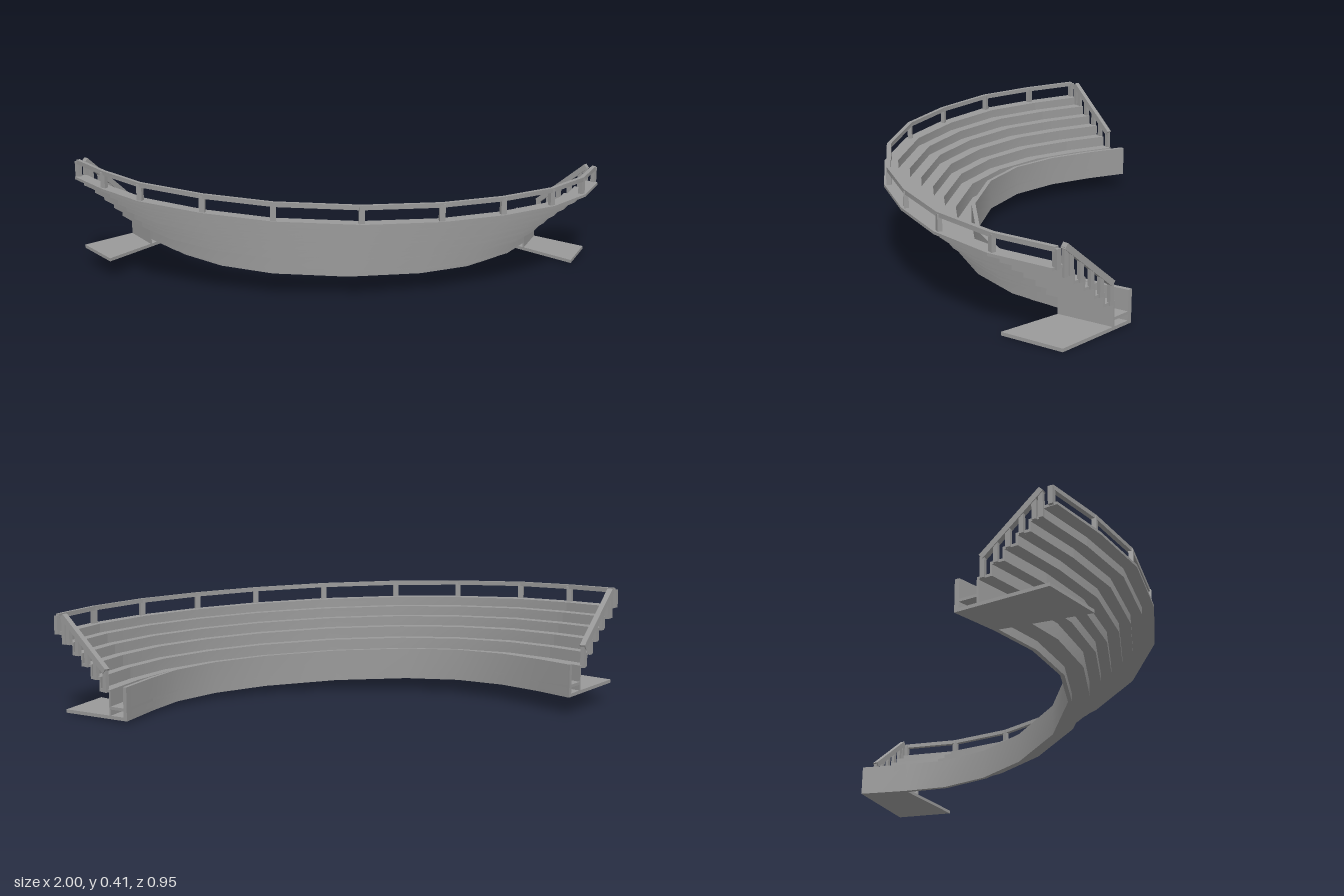
import * as THREE from 'three';
import { toCreasedNormals } from 'three/addons/utils/BufferGeometryUtils.js';

// Plan of the curved stand: matching points on the inner and outer edge [x, z]
const INNER = [[-0.74, -0.48], [-0.68, -0.33], [-0.60, -0.17], [-0.475, -0.02], [-0.30, 0.085], [-0.035, 0.14],
  [0.24, 0.115], [0.435, 0.04], [0.58, -0.075], [0.67, -0.21], [0.76, -0.37]];
const OUTER = [[-1, -0.25], [-0.90, -0.06], [-0.77, 0.13], [-0.56, 0.30], [-0.33, 0.42], [-0.04, 0.475],
  [0.24, 0.45], [0.48, 0.37], [0.70, 0.25], [0.88, 0.08], [1, -0.11]];
const LAST = INNER.length - 1;
// The stand is made of a long curved run and a flat bay at each end
const RUNS = [[0, 1], [1, LAST - 1], [LAST - 1, LAST]];

// Tier edges across the stand (0 inner, 1 outer) and tread heights
const EDGE = [0, 0.24, 0.37, 0.49, 0.62, 0.745, 0.87, 1];
const HEIGHT = [0.043, 0.10, 0.14, 0.18, 0.215, 0.25, 0.282];
const RAIL_TOP = 0.345;

// Point at bay i, fraction s across and height h above the gently sloping ground
function place(i, s, h) {
  const x = THREE.MathUtils.lerp(INNER[i][0], OUTER[i][0], s);
  const z = THREE.MathUtils.lerp(INNER[i][1], OUTER[i][1], s);
  return new THREE.Vector3(x, 0.034 - 0.035 * x + h, z);
}

// Sweep a rectangular section along the bays from i0 to i1
function sweep(s0, s1, h0, h1, i0 = 0, i1 = LAST) {
  const pos = [], index = [];
  for (let i = i0; i <= i1; i++) {
    for (const [s, h] of [[s0, h0], [s1, h0], [s1, h1], [s0, h1]]) pos.push(...place(i, s, h).toArray());
  }
  const n = i1 - i0;
  for (let i = 0; i < n; i++) {
    for (let k = 0; k < 4; k++) {
      const a = i * 4 + k, b = i * 4 + (k + 1) % 4;
      index.push(a, b, b + 4, a, b + 4, a + 4);
    }
  }
  const e = n * 4;
  index.push(0, 2, 1, 0, 3, 2, e, e + 1, e + 2, e, e + 2, e + 3);
  const geo = new THREE.BufferGeometry();
  geo.setAttribute('position', new THREE.Float32BufferAttribute(pos, 3));
  geo.setIndex(index);
  return toCreasedNormals(geo, 0.6);
}

export function createModel() {
  const model = new THREE.Group();
  const mat = new THREE.MeshStandardMaterial({ color: 0x999999, side: THREE.DoubleSide });

  function add(name, geo, parent = model) {
    const mesh = new THREE.Mesh(geo, mat);
    mesh.name = name;
    parent.add(mesh);
    return mesh;
  }

  function group(name) {
    const g = new THREE.Group();
    g.name = name;
    model.add(g);
    return g;
  }

  // Straight bar between two points
  function bar(name, a, b, w, h, parent) {
    const mesh = add(name, new THREE.BoxGeometry(w, h, a.distanceTo(b)), parent);
    mesh.position.copy(a).add(b).multiplyScalar(0.5);
    mesh.lookAt(b);
  }

  // Upright post turned to follow the cross direction of bay i
  function post(i, s, h0, h1, width, parent) {
    const a = place(i, s, h0), d = place(i, 1, 0).sub(place(i, 0, 0));
    const mesh = add('post', new THREE.BoxGeometry(width, h1 - h0, 0.016), parent);
    mesh.position.copy(a);
    mesh.position.y += (h1 - h0) / 2;
    mesh.rotation.y = Math.atan2(d.x, d.z);
  }

  // Low wall along the inner edge
  add('frontWall', sweep(0, 0.045, 0, 0.115));

  // Stepped seating: a thin tread and the riser in front of it
  const tiers = group('tiers');
  for (const [i0, i1] of RUNS) {
    HEIGHT.forEach((h, k) => {
      add('tread', sweep(EDGE[k], EDGE[k + 1], h - 0.01, h, i0, i1), tiers);
      if (k > 0) add('riser', sweep(EDGE[k] - 0.02, EDGE[k], HEIGHT[k - 1] - 0.01, h, i0, i1), tiers);
    });
  }

  // Ground slabs beneath the two end bays, with a skirt down from the first riser
  const ends = group('endBays');
  for (const [i, depth] of [[0, 0.92], [LAST - 1, 0.86]]) {
    add('floorSlab', sweep(0, depth, 0, 0.012, i, i + 1), ends);
    add('skirt', sweep(EDGE[1] - 0.02, EDGE[1], 0.012, HEIGHT[0], i, i + 1), ends);
  }

  // Railing along the outer edge
  const rail = group('backRailing');
  add('topRail', sweep(0.925, 0.97, RAIL_TOP - 0.016, RAIL_TOP), rail);
  for (let i = 0; i <= LAST; i++) post(i, 0.948, 0.275, RAIL_TOP - 0.006, 0.02, rail);

  // Sloping handrails down both ends
  for (const i of [0, LAST]) {
    const hand = group(i ? 'leftHandrail' : 'rightHandrail');
    const railHeight = (s) => 0.165 + (s - 0.28) * 0.3;
    bar('handrail', place(i, 0.27, railHeight(0.27)), place(i, 0.86, railHeight(0.86)), 0.02, 0.02, hand);
    for (let k = 1; k < HEIGHT.length; k++) {
      const s = EDGE[k] + (k === 6 ? -0.02 : 0.04);
      post(i, s, HEIGHT[Math.min(k, 5)] - 0.01, railHeight(s), 0.014, hand);
    }
  }
  return model;
}
